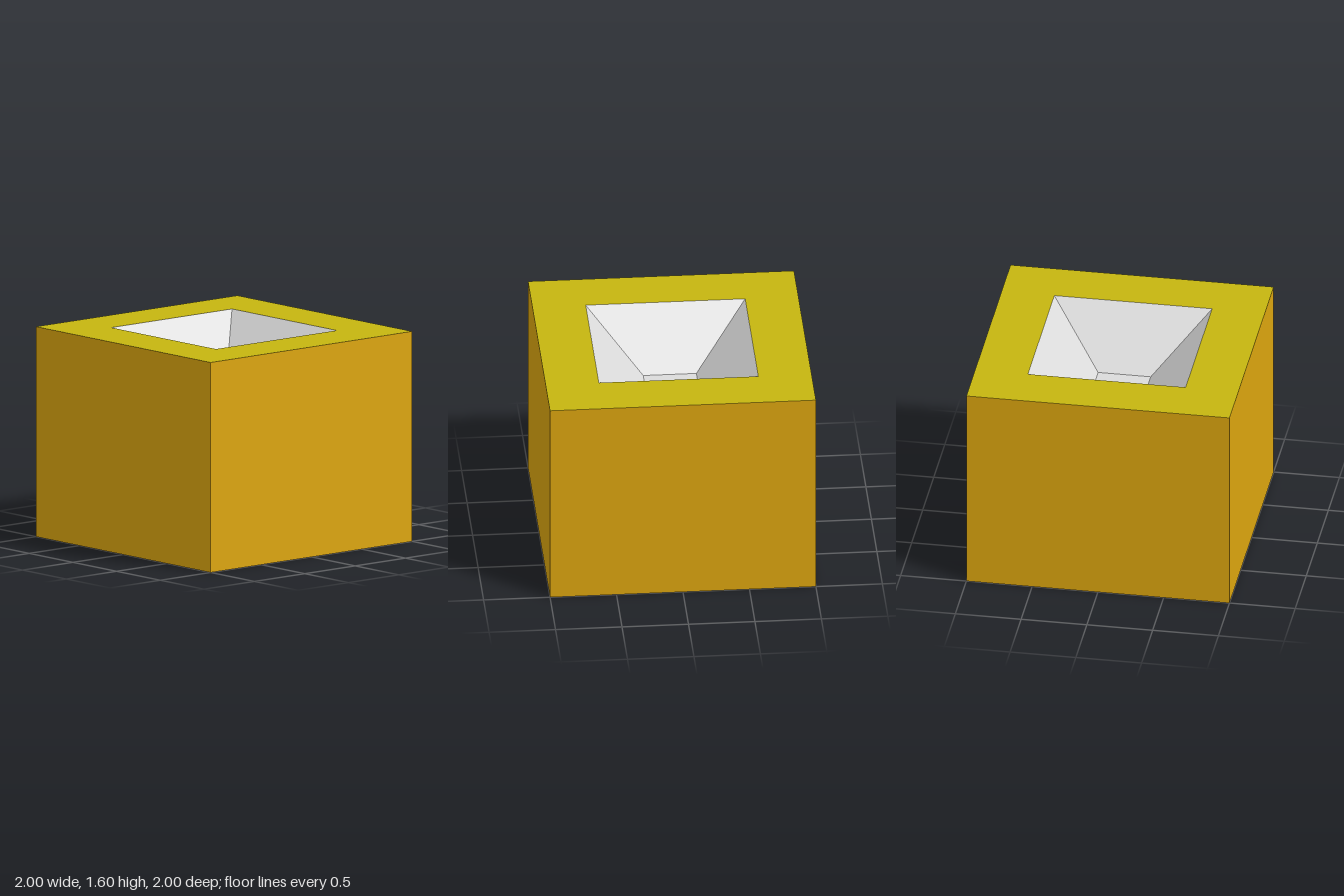
import * as THREE from 'three';

const material = (name, color) =>
  new THREE.MeshStandardMaterial({ name, color, side: THREE.DoubleSide, flatShading: true });

const HEIGHT = 1.6, RIM_HALF = 0.6, FLOOR_HALF = 0.2, DEPTH = 0.4;

// Open four-sided band between two square outlines; normals face outward
function squareBand(topHalf, bottomHalf, height) {
  const r = Math.SQRT2;
  const g = new THREE.CylinderGeometry(topHalf * r, bottomHalf * r, height, 4, 1, true);
  return g.rotateY(Math.PI / 4);
}

const squarePoints = (h) =>
  [[-h, -h], [h, -h], [h, h], [-h, h]].map(([x, y]) => new THREE.Vector2(x, y));

export function createModel() {
  const model = new THREE.Group();
  model.name = 'hollowBlock';
  const gold = material('gold', 0xdda60f);
  const olive = material('olive', 0xc5b610);
  const grey = material('light grey', 0xdbdbdb);

  const add = (name, geometry, mat, y) => {
    const mesh = new THREE.Mesh(geometry, mat);
    mesh.name = name;
    mesh.position.y = y;
    model.add(mesh);
  };

  // Outer walls, open underneath
  add('outerWalls', squareBand(1, 1, HEIGHT), gold, HEIGHT / 2);

  // Flat rim with a square opening
  const rim = new THREE.Shape(squarePoints(1));
  rim.holes.push(new THREE.Path(squarePoints(RIM_HALF).reverse()));
  add('topRim', new THREE.ShapeGeometry(rim).rotateX(-Math.PI / 2), olive, HEIGHT);

  // Sloped recess and its small floor
  add('recessSlopes', squareBand(RIM_HALF, FLOOR_HALF, DEPTH), grey, HEIGHT - DEPTH / 2);
  const floor = new THREE.PlaneGeometry(FLOOR_HALF * 2, FLOOR_HALF * 2).rotateX(-Math.PI / 2);
  add('recessFloor', floor, grey, HEIGHT - DEPTH);

  return model;
}
